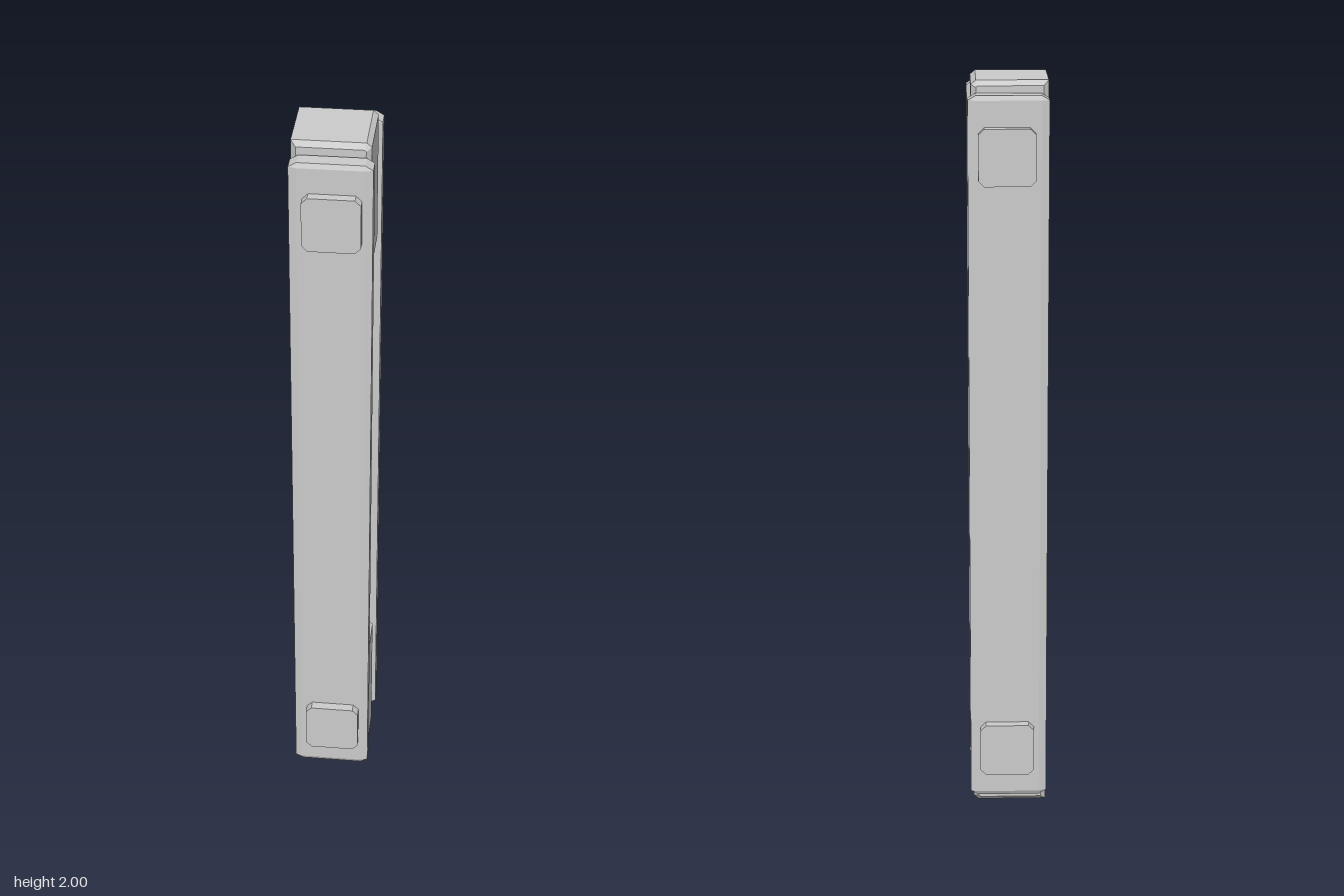
import * as THREE from 'three';
import { ConvexGeometry } from 'three/addons/geometries/ConvexGeometry.js';

const material = new THREE.MeshStandardMaterial({ color: 0xcccccc, flatShading: true });

function polygon(points) {
  return new THREE.Shape(points.map(([x, y]) => new THREE.Vector2(x, y)));
}

// Box with every edge cut by its own amount per axis
function chamferBox(half, cut) {
  const points = [];
  for (let axis = 0; axis < 3; axis++)
    for (const sx of [-1, 1]) for (const sy of [-1, 1]) for (const sz of [-1, 1]) {
      const p = [sx, sy, sz].map((s, i) => s * (half[i] - (i === axis ? 0 : cut[i])));
      points.push(new THREE.Vector3(...p));
    }
  return new ConvexGeometry(points);
}

export function createModel() {
  const group = new THREE.Group();
  const add = (name, geometry, x, y, z) => {
    const mesh = new THREE.Mesh(geometry, material);
    mesh.name = name;
    mesh.position.set(x, y, z);
    group.add(mesh);
  };

  // Core: upright C outline with a recessed grip on the +x side
  const bevel = 0.013;
  const core = polygon([
    [-0.103, 0], [0.081, 0], [0.094, 0.011], [0.094, 0.365], [0.081, 0.376],
    [0.046, 0.376], [0.046, 1.634], [0.081, 1.634], [0.094, 1.645],
    [0.094, 1.989], [0.081, 2], [-0.103, 2],
  ]);
  const coreGeometry = new THREE.ExtrudeGeometry(core, {
    depth: 0.174, bevelEnabled: true, bevelSegments: 1,
    bevelSize: bevel, bevelThickness: bevel, bevelOffset: -bevel,
  });
  add('core', coreGeometry, 0, 0, -0.087);

  // Side plates and their square pads, mirrored front and back
  const plate = chamferBox([0.103, 0.963, 0.026], [0.02, 0.012, 0.006]);
  const h = 0.073, c = 0.058;
  const pad = new THREE.ExtrudeGeometry(polygon([
    [-c, -h], [c, -h], [h, -c], [h, c], [c, h], [-c, h], [-h, c], [-h, -c],
  ]), { depth: 0.04, bevelEnabled: false });
  pad.translate(0, 0, -0.02);

  for (const [side, s] of [['front', 1], ['back', -1]]) {
    add(side + 'Plate', plate, 0, 1.007, s * 0.127);
    add(side + 'LowerPad', pad, 0.004, 0.191, s * 0.158);
    add(side + 'UpperPad', pad, 0.004, 1.818, s * 0.158);
  }
  return group;
}
